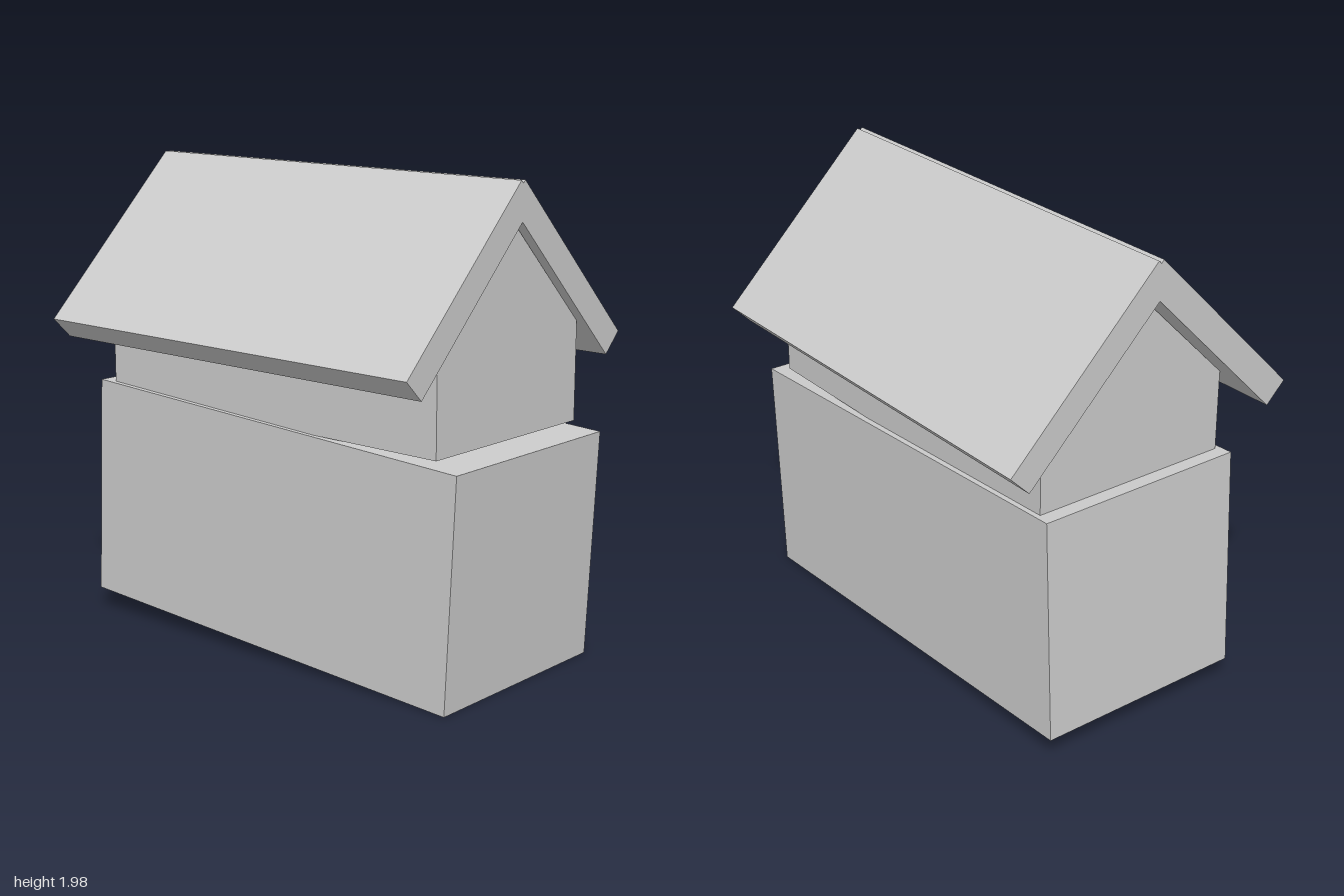
import * as THREE from 'three';

export function createModel() {
  const group = new THREE.Group();
  const material = new THREE.MeshStandardMaterial({ color: 0xcccccc, flatShading: true });

  function add(name, geometry, x, y, z) {
    const mesh = new THREE.Mesh(geometry, material);
    mesh.name = name;
    mesh.position.set(x, y, z);
    group.add(mesh);
    return mesh;
  }

  // Tilted lower block
  const base = add('base', new THREE.BoxGeometry(1.937, 0.948, 0.933), 0.01, 0.523, 0.007);
  base.rotation.set(0, 0.003, -0.0465);

  // Gabled upper storey: pentagon in the z-y plane, extruded along x
  const gable = new THREE.Shape([
    [-0.452, 0.985], [0.434, 0.985], [0.434, 1.392], [0, 1.823], [-0.452, 1.376],
  ].map(([x, y]) => new THREE.Vector2(x, y)));
  const walls = new THREE.ExtrudeGeometry(gable, { depth: 1.76, bevelEnabled: false });
  walls.rotateY(Math.PI / 2);
  add('upperWalls', walls, -0.87, 0, 0);

  // Two roof slabs crossing just below the ridge
  for (const [name, side] of [['frontRoofSlab', 1], ['backRoofSlab', -1]]) {
    const slab = add(name, new THREE.BoxGeometry(1.93, 0.12, 0.938), -0.035, 1.6125, side * 0.301);
    slab.rotation.x = side * Math.PI / 4;
  }

  return group;
}
